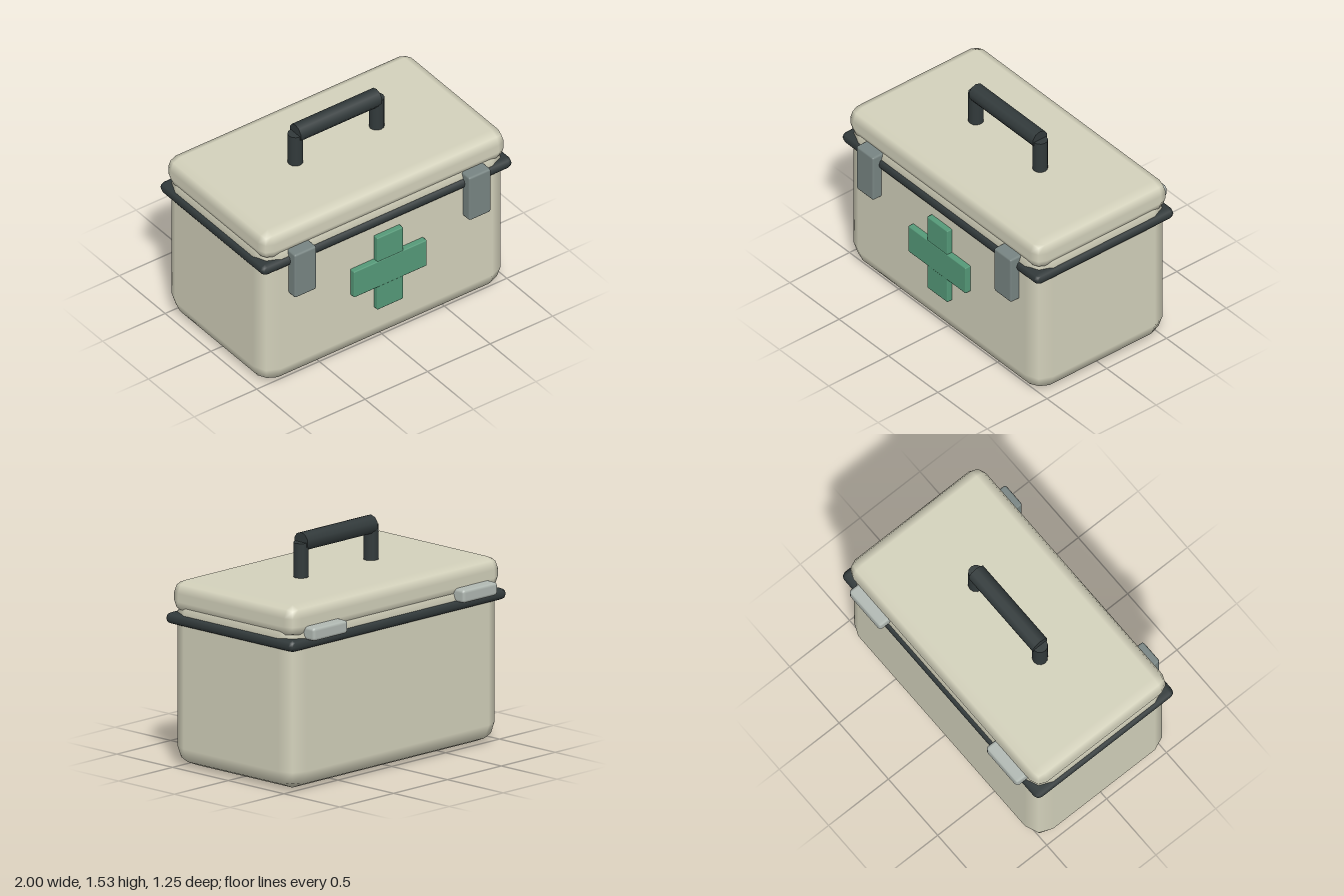
import * as THREE from 'three';
import { RoundedBoxGeometry } from 'three/addons/geometries/RoundedBoxGeometry.js';

const paint = (color) => new THREE.MeshStandardMaterial({ color });
const shell = paint(0xd4d2bc);
const rubber = paint(0x323a3b);
const latchMetal = paint(0x788583);
const hingeMetal = paint(0xb2bab4);
const green = paint(0x559a79);

export function createModel() {
  const model = new THREE.Group();
  model.name = 'firstAidBox';

  const add = (name, geometry, material) => {
    const mesh = new THREE.Mesh(geometry, material);
    mesh.name = name;
    model.add(mesh);
    return mesh;
  };

  // Box with two-facet rounded edges, given by its extents on each axis
  const block = (name, [x0, x1], [y0, y1], [z0, z1], radius, material) => {
    const geometry = new RoundedBoxGeometry(x1 - x0, y1 - y0, z1 - z0, 1, radius);
    geometry.translate((x0 + x1) / 2, (y0 + y1) / 2, (z0 + z1) / 2);
    return add(name, geometry, material);
  };

  // Case: the body's rounded top tucks into the lid
  block('body', [-0.975, 0.975], [0, 1.15], [-0.555, 0.555], 0.13, shell);
  block('lid', [-0.975, 0.975], [1.02, 1.235], [-0.555, 0.555], 0.08, shell);
  block('seal', [-1, 1], [0.943, 1.02], [-0.577, 0.577], 0.037, rubber);

  // Cross on the front
  block('crossUpright', [-0.104, 0.104], [0.295, 0.875], [0.52, 0.594], 0.008, green);
  block('crossBar', [-0.292, 0.292], [0.48, 0.688], [0.52, 0.597], 0.008, green);

  // Latches, hinges and handle posts, mirrored
  for (const [side, s] of [['left', 1], ['right', -1]]) {
    const span = (a, b) => (s > 0 ? [a, b] : [-b, -a]);
    block(side + 'Latch', span(0.61, 0.785), [0.713, 1.06], [0.5, 0.625], 0.015, latchMetal);
    block(side + 'Hinge', span(0.535, 0.855), [1.005, 1.095], [-0.63, -0.5], 0.022, hingeMetal);
    const post = add(side + 'HandlePost', new THREE.CylinderGeometry(0.051, 0.051, 0.285, 12), rubber);
    post.position.set(s * 0.325, 1.3225, 0);
  }

  // Grip across the posts
  const grip = add('handleGrip',
    new THREE.CylinderGeometry(0.063, 0.063, 0.65, 10, 1, false, Math.PI / 2), rubber);
  grip.rotation.z = Math.PI / 2;
  grip.position.y = 1.467;

  return model;
}
